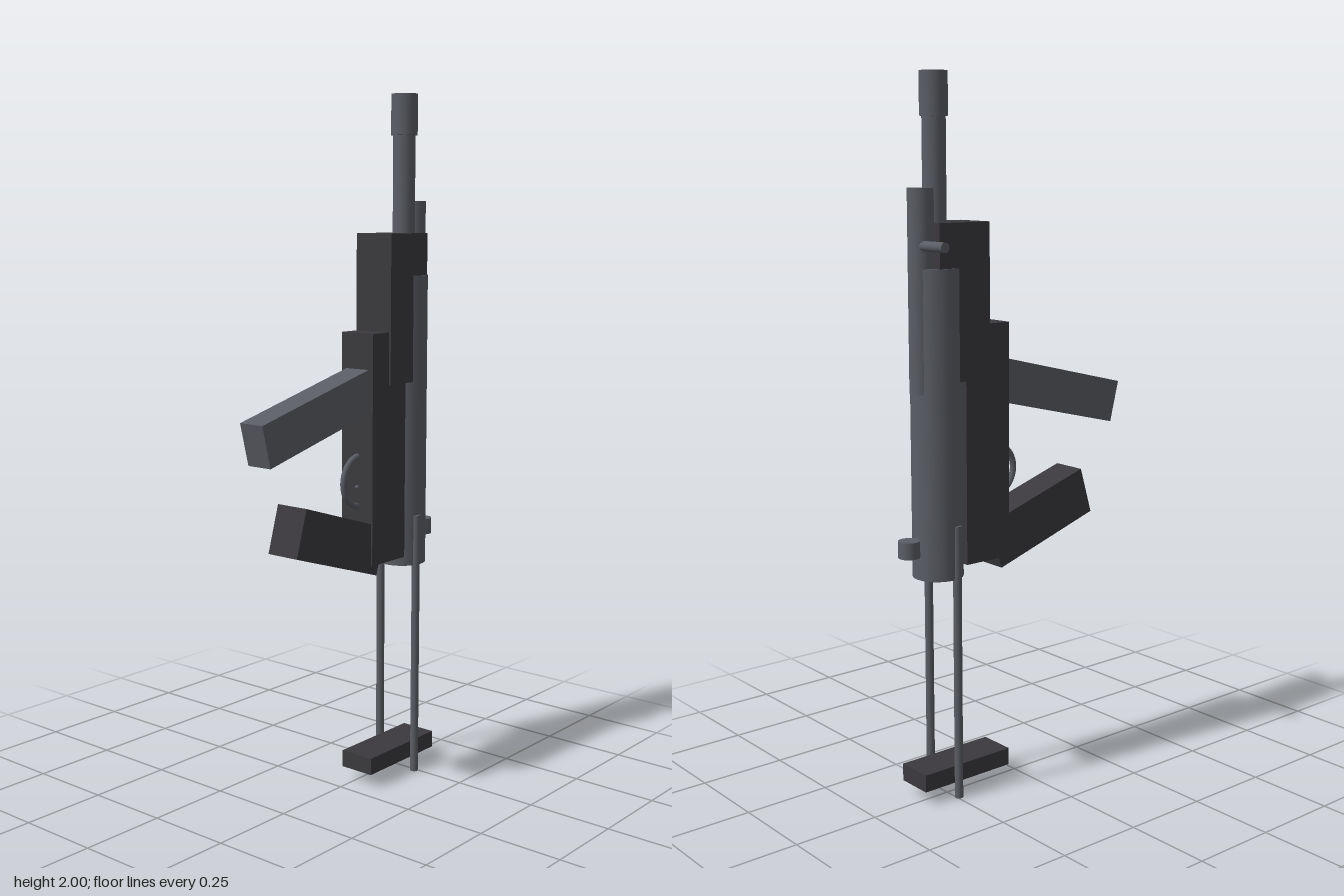
import * as THREE from 'three';

const CX = 0.02; // middle plane of the body
const AXIS_Z = -0.259; // main tube axis

export function createModel() {
  const root = new THREE.Group();
  const metal = new THREE.MeshStandardMaterial({ color: 0x5a5d64 });
  metal.name = 'grey metal';
  const dark = new THREE.MeshStandardMaterial({ color: 0x3b393d });
  dark.name = 'dark polymer';

  const add = (name, geometry, material, x, y, z) => {
    const mesh = new THREE.Mesh(geometry, material);
    mesh.name = name;
    mesh.position.set(x, y, z);
    root.add(mesh);
    return mesh;
  };
  // upright cylinder between two heights
  const tube = (name, r, y0, y1, z, x = CX, sides = 32) =>
    add(name, new THREE.CylinderGeometry(r, r, y1 - y0, sides), metal, x, (y0 + y1) / 2, z);
  // box given by its width and its height and depth limits
  const box = (name, w, y0, y1, z0, z1) =>
    add(name, new THREE.BoxGeometry(w, y1 - y0, z1 - z0), dark, CX, (y0 + y1) / 2, (z0 + z1) / 2);
  // side outline [z, y] given corner by corner, extruded across x
  const slab = (name, points, w, material) => {
    const shape = new THREE.Shape(points.map(([z, y]) => new THREE.Vector2(-z, y)));
    const g = new THREE.ExtrudeGeometry(shape, { depth: w, bevelEnabled: false });
    g.translate(0, 0, -w / 2).rotateY(Math.PI / 2);
    return add(name, g, material, CX, 0, 0);
  };

  // main tube, barrel and the tube behind it
  tube('receiverTube', 0.071, 0.64, 1.49, AXIS_Z);
  tube('barrel', 0.032, 1.4, 1.9, AXIS_Z);
  tube('muzzle', 0.038, 1.885, 2.0, AXIS_Z);
  tube('rearTube', 0.0355, 1.155, 1.7, -0.305);
  tube('rearSight', 0.03, 0.708, 0.755, -0.357);

  // body housings
  box('lowerHousing', 0.112, 0.67, 1.335, -0.2, -0.05);
  box('upperHousing', 0.125, 1.185, 1.61, -0.29, -0.122);

  // side handle
  const handle = add('sideHandle', new THREE.CylinderGeometry(0.0138, 0.0138, 0.12, 20), metal, -0.04, 1.55, -0.316);
  handle.rotation.z = Math.PI / 2;

  // slanted magazine and grip
  slab('magazine', [[0.386, 1.125], [0.356, 1.007], [-0.1, 1.12], [-0.07, 1.238]], 0.08, metal);
  slab('grip', [[0.228, 0.882], [0.268, 0.749], [-0.074, 0.638], [-0.117, 0.771]], 0.104, dark);

  // trigger guard ring and curved trigger
  const guard = add('triggerGuard', new THREE.TorusGeometry(0.073, 0.009, 10, 40), metal, CX, 0.911, -0.061);
  guard.rotation.y = Math.PI / 2;
  const triggerPath = new THREE.QuadraticBezierCurve3(
    new THREE.Vector3(0, 0.03, -0.025), new THREE.Vector3(0, -0.005, -0.02), new THREE.Vector3(0, -0.015, 0.008));
  add('trigger', new THREE.TubeGeometry(triggerPath, 10, 0.006, 8), metal, CX, 0.905, -0.05);

  // wire stock with end plate
  for (const side of [-1, 1]) {
    tube(side > 0 ? 'leftStockRod' : 'rightStockRod', 0.012, 0, 0.79, -0.243, CX + side * 0.066, 16);
  }
  box('buttPlate', 0.108, 0.04, 0.09, -0.35, -0.05);

  return root;
}
